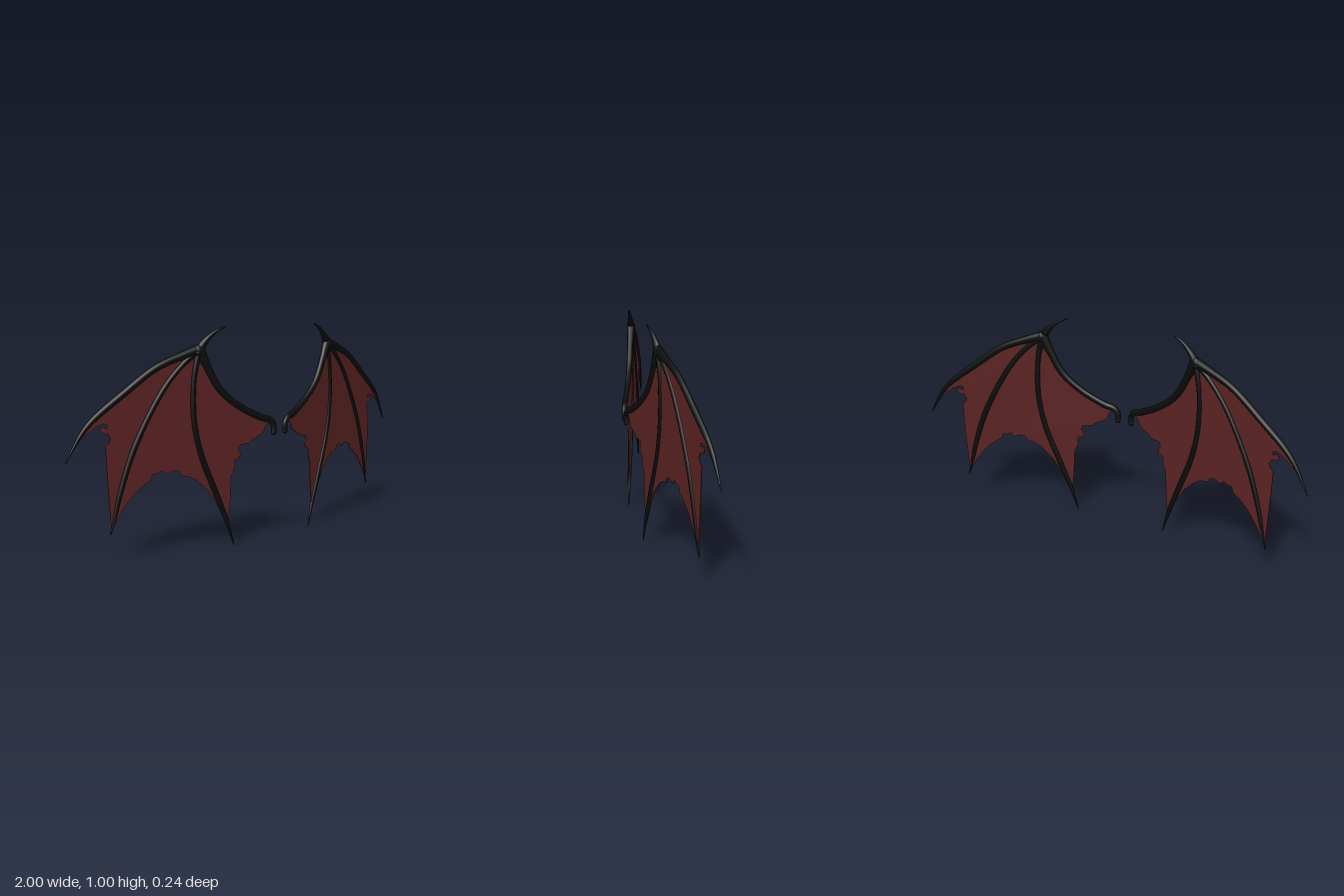
import * as THREE from 'three';

const SWEEP = 0.2337; // each wing is a flat sheet swept backwards by this angle

// Bone paths, given as [x, y] seen from the front, with radii spread evenly along the path
const BONES = {
  arm: {
    path: [[0.036, 0.51], [0.036, 0.545], [0.055, 0.57], [0.1, 0.585], [0.22, 0.65], [0.305, 0.725], [0.36, 0.82], [0.4, 0.905]],
    radii: [0.013, 0.016, 0.016, 0.016, 0.017, 0.018, 0.026],
  },
  thumbClaw: {
    path: [[0.41, 0.885], [0.385, 0.925], [0.345, 0.965], [0.31, 0.987], [0.275, 1.0]],
    radii: [0.026, 0.019, 0.011, 0.007, 0.002],
  },
  outerFinger: {
    path: [[0.4, 0.905], [0.48, 0.88], [0.6, 0.832], [0.75, 0.726], [0.88, 0.625], [0.93, 0.568], [0.998, 0.452]],
    radii: [0.024, 0.017, 0.016, 0.016, 0.016, 0.014, 0.009, 0.002],
  },
  middleFinger: {
    path: [[0.4, 0.905], [0.48, 0.84], [0.57, 0.735], [0.7, 0.5], [0.767, 0.31], [0.8, 0.18], [0.815, 0.125]],
    radii: [0.016, 0.012, 0.013, 0.013, 0.014, 0.013, 0.011, 0.003],
  },
  innerFinger: {
    path: [[0.4, 0.905], [0.425, 0.79], [0.43, 0.607], [0.4, 0.446], [0.33, 0.26], [0.273, 0.115], [0.239, 0.002]],
    radii: [0.016, 0.012, 0.013, 0.013, 0.014, 0.014, 0.011, 0.002],
  },
};

// Ragged trailing edge of the skin, from the outer tip back to the shoulder hook
const TORN_EDGE = [
  [0.955, 0.525], [0.912, 0.564], [0.87, 0.594], [0.837, 0.607], [0.815, 0.6], [0.822, 0.587], [0.842, 0.596],
  [0.853, 0.583], [0.842, 0.564], [0.818, 0.564], [0.805, 0.543], [0.812, 0.524], [0.828, 0.512],
  [0.822, 0.35], [0.81, 0.142],
  [0.767, 0.217], [0.714, 0.285], [0.67, 0.322], [0.632, 0.345], [0.623, 0.37], [0.6, 0.372], [0.58, 0.382],
  [0.559, 0.364], [0.527, 0.379], [0.503, 0.372], [0.493, 0.35], [0.457, 0.345], [0.42, 0.323], [0.366, 0.27],
  [0.313, 0.187], [0.268, 0.105],
  [0.258, 0.2], [0.252, 0.323], [0.233, 0.366], [0.236, 0.397], [0.208, 0.408], [0.204, 0.422], [0.218, 0.445],
  [0.208, 0.465], [0.163, 0.47], [0.145, 0.485], [0.118, 0.497], [0.09, 0.513], [0.078, 0.545], [0.055, 0.562],
];

function boneCurve(path, side) {
  const k = side / Math.cos(SWEEP);
  return new THREE.CatmullRomCurve3(path.map(([x, y]) => new THREE.Vector3(x * k, y, 0)));
}

// Tube whose radius follows a list, slightly flattened front to back
function taperedTube(curve, radii) {
  const rings = 40, sides = 10;
  const geo = new THREE.TubeGeometry(curve, rings, 1, sides, false);
  const pos = geo.attributes.position, p = new THREE.Vector3();
  for (let i = 0; i <= rings; i++) {
    const centre = curve.getPointAt(i / rings);
    const t = (i / rings) * (radii.length - 1);
    const a = Math.min(Math.floor(t), radii.length - 2);
    const r = THREE.MathUtils.lerp(radii[a], radii[a + 1], t - a);
    for (let j = 0; j <= sides; j++) {
      const n = i * (sides + 1) + j;
      p.fromBufferAttribute(pos, n).sub(centre).multiplyScalar(r);
      p.z *= 0.8;
      p.add(centre);
      pos.setXYZ(n, p.x, p.y, p.z);
    }
  }
  return geo;
}

function makeKnob(x, y, r, side, material, name) {
  const knob = new THREE.Mesh(new THREE.SphereGeometry(r, 12, 8), material);
  knob.position.set((x * side) / Math.cos(SWEEP), y, 0);
  knob.scale.z = 0.8;
  knob.name = name;
  return knob;
}

function makeWing(side, boneMat, skinMat) {
  const wing = new THREE.Group();
  wing.name = side > 0 ? 'leftWing' : 'rightWing';
  const curves = {};

  // Bones
  for (const [name, { path, radii }] of Object.entries(BONES)) {
    curves[name] = boneCurve(path, side);
    const bone = new THREE.Mesh(taperedTube(curves[name], radii), boneMat);
    bone.name = name;
    wing.add(bone);
  }
  wing.add(makeKnob(0.036, 0.51, 0.0135, side, boneMat, 'shoulderEnd'));
  wing.add(makeKnob(0.404, 0.9, 0.027, side, boneMat, 'wristJoint'));

  // Skin stretched between the arm, the outer finger and the torn edge
  const outline = [
    ...curves.arm.getSpacedPoints(30).slice(4),
    ...curves.outerFinger.getSpacedPoints(30).slice(1, 30),
  ].map((p) => new THREE.Vector2(p.x, p.y));
  for (const [x, y] of TORN_EDGE) outline.push(new THREE.Vector2((x * side) / Math.cos(SWEEP), y));
  const depth = 0.004;
  const skinGeo = new THREE.ExtrudeGeometry(new THREE.Shape(outline), { depth, bevelEnabled: false });
  skinGeo.translate(0, 0, -depth / 2);
  const skin = new THREE.Mesh(skinGeo, skinMat);
  skin.name = 'wingSkin';
  wing.add(skin);

  wing.rotation.y = side * SWEEP;
  wing.position.z = 0.118;
  return wing;
}

export function createModel() {
  const boneMat = new THREE.MeshStandardMaterial({ color: 0x0b0c0c });
  boneMat.name = 'blackBone';
  const skinMat = new THREE.MeshStandardMaterial({ color: 0x5a2222 });
  skinMat.name = 'darkRedSkin';

  const model = new THREE.Group();
  model.name = 'batWings';
  for (const side of [1, -1]) model.add(makeWing(side, boneMat, skinMat));
  return model;
}
